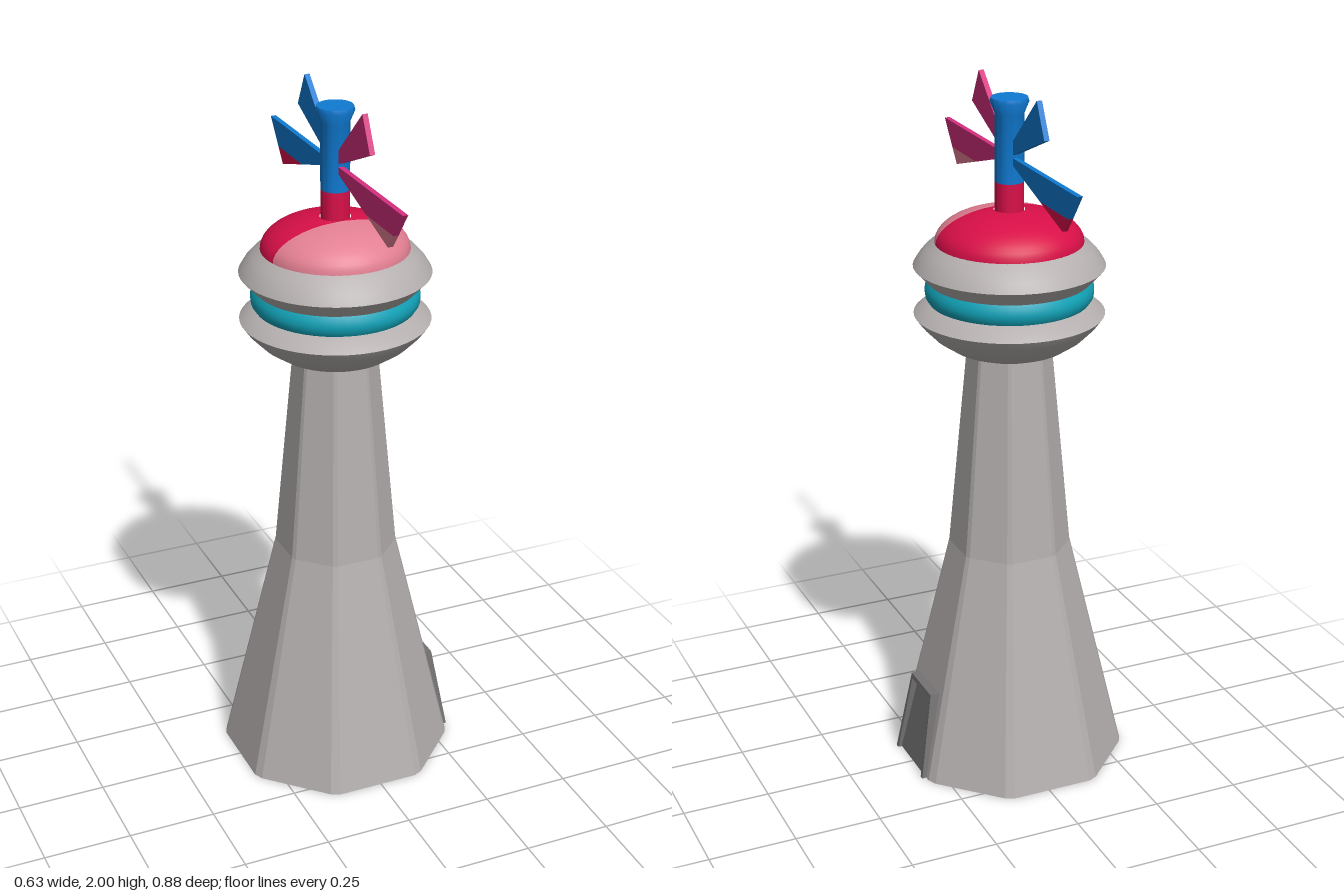
import * as THREE from 'three';
import { toCreasedNormals } from 'three/addons/utils/BufferGeometryUtils.js';

const mat = (name, color, extra = {}) => {
  const m = new THREE.MeshStandardMaterial({ color, ...extra });
  m.name = name;
  return m;
};

export function createModel() {
  const grey = mat('warm grey', 0xb5afaf);
  const darkGrey = mat('dark grey', 0x757373);
  const teal = mat('teal', 0x12a3b8);
  const red = mat('red', 0xd80f48);
  const pink = mat('light pink', 0xe27f92);
  const magenta = mat('magenta', 0xd6307e);
  const blue = mat('blue', 0x0f7ad2);

  const model = new THREE.Group();
  model.name = 'tower';
  const add = (name, geo, material, parent = model) => {
    const m = new THREE.Mesh(geo, material);
    m.name = name;
    parent.add(m);
    return m;
  };

  // Everything but the door is centred on a slightly shifted axis
  const body = new THREE.Group();
  body.name = 'body';
  body.position.x = -0.01;
  model.add(body);

  // Quad strip between cross-section rings
  const loft = (rings, capped) => {
    const pos = [];
    const tri = (...pts) => pts.forEach(p => pos.push(...p));
    for (let i = 0; i < rings.length - 1; i++) {
      for (let j = 0; j < rings[i].length - 1; j++) {
        const a = rings[i][j], b = rings[i][j + 1];
        const c = rings[i + 1][j + 1], d = rings[i + 1][j];
        tri(a, b, c);
        tri(a, c, d);
      }
    }
    if (capped) {
      const r = rings[0];
      for (let j = 1; j < r.length - 2; j++) tri(r[0], r[j + 1], r[j]);
    }
    const g = new THREE.BufferGeometry();
    g.setAttribute('position', new THREE.Float32BufferAttribute(pos, 3));
    g.computeVertexNormals();
    return g;
  };

  // Shaft: octagon with narrow bevelled corners, tapering in two stages
  const octagon = (h, y) => {
    const ring = [];
    for (let k = 0; k <= 8; k++) {
      const a = k * Math.PI / 4;
      const half = k % 2 ? 0.35 : 0.385;
      const d = k % 2 ? 1.01 : 1;
      for (const s of [-half, half]) {
        ring.push([
          h * (d * Math.sin(a) + s * Math.cos(a)), y,
          h * (d * Math.cos(a) - s * Math.sin(a)),
        ]);
      }
    }
    return ring;
  };
  add('shaft', loft([octagon(0.31, 0), octagon(0.162, 0.67), octagon(0.11, 1.27)], true), grey, body);

  // Round parts of the observation deck
  const lathe = (name, pts, material) => {
    const g = new THREE.LatheGeometry(pts.map(p => new THREE.Vector2(...p)), 48);
    return add(name, toCreasedNormals(g, 0.7), material, body);
  };
  lathe('lowerDeck', [[0, 1.25], [0.11, 1.25], [0.165, 1.272], [0.21, 1.303], [0.246, 1.34],
    [0.265, 1.366], [0.222, 1.402], [0, 1.402]], grey);
  lathe('windowBand', [[0.222, 1.40], [0.232, 1.415], [0.234, 1.43], [0.232, 1.447], [0.222, 1.462]], teal);
  lathe('upperDeck', [[0, 1.46], [0.225, 1.46], [0.265, 1.503], [0.25, 1.528], [0.228, 1.552], [0.203, 1.57]], grey);

  // Dome split by a plane just in front of the mast
  const split = 0.043, domeR = 0.205;
  const dome = front => {
    const rings = [];
    const end = Math.acos(split / domeR);
    for (let i = 0; i <= 10; i++) {
      const t = end * i / 10;
      const r = domeR * Math.cos(t), y = 1.568 + 0.093 * Math.sin(t);
      const edge = Math.acos(Math.min(1, split / r));
      const from = front ? -edge : edge;
      const to = front ? edge : 2 * Math.PI - edge;
      const ring = [];
      for (let j = 0; j <= 32; j++) {
        const a = from + (to - from) * j / 32;
        ring.push([r * Math.sin(a), y, r * Math.cos(a)]);
      }
      rings.push(ring);
    }
    return toCreasedNormals(loft(rings), 0.7);
  };
  add('domeFront', dome(true), pink, body);
  add('domeBack', dome(false), red, body);

  // Mast with a flared cap
  lathe('mastBase', [[0.04, 1.63], [0.04, 1.737]], red);
  lathe('mast', [[0.04, 1.737], [0.04, 1.925], [0.053, 1.957], [0.05, 1.968], [0, 1.968]], blue);

  // Fan blades, drawn as (z, y) outlines and mirrored front to back
  const plate = (pts, side) => {
    const s = new THREE.Shape(pts.map(([z, y]) => new THREE.Vector2(-side * z, y)));
    const g = new THREE.ExtrudeGeometry(s, { depth: 0.015, bevelEnabled: false });
    return g.translate(0, 0, -0.0075).rotateY(Math.PI / 2);
  };
  const upper = [[0.03, 1.848], [0.19, 2], [0.238, 1.905], [0.03, 1.815]];
  const lower = [[0.03, 1.81], [0.438, 1.81], [0.384, 1.737], [0.214, 1.737], [0.03, 1.793]];
  const tip = [[0.384, 1.737], [0.352, 1.695], [0.214, 1.737]];
  for (const [side, word, main, end] of [[1, 'front', magenta, pink], [-1, 'back', blue, red]]) {
    add(word + 'UpperBlade', plate(upper, side), main, body);
    add(word + 'LowerBlade', plate(lower, side), main, body);
    add(word + 'LowerBladeTip', plate(tip, side), end, body);
  }

  // Door on the left side, leaning with the wall
  const leaning = (pts, x0, x1, slope) => {
    const s = new THREE.Shape(pts.map(p => new THREE.Vector2(...p)));
    const g = new THREE.ExtrudeGeometry(s, { depth: x1 - x0, bevelEnabled: false });
    g.translate(0, 0, x0).rotateY(Math.PI / 2);
    const p = g.attributes.position;
    for (let i = 0; i < p.count; i++) p.setX(i, p.getX(i) - slope * p.getY(i));
    g.computeVertexNormals();
    return g;
  };
  const door = new THREE.Group();
  door.name = 'door';
  model.add(door);
  add('doorFrame', leaning([[-0.103, 0], [-0.09, 0], [-0.064, 0.238], [0.064, 0.238],
    [0.09, 0], [0.103, 0], [0.074, 0.252], [-0.074, 0.252]], 0.235, 0.313, 0.165), darkGrey, door);
  add('doorPanel', leaning([[-0.092, 0.001], [0.092, 0.001], [0.066, 0.24], [-0.066, 0.24]],
    0.25, 0.302, 0.2), darkGrey, door);

  return model;
}
